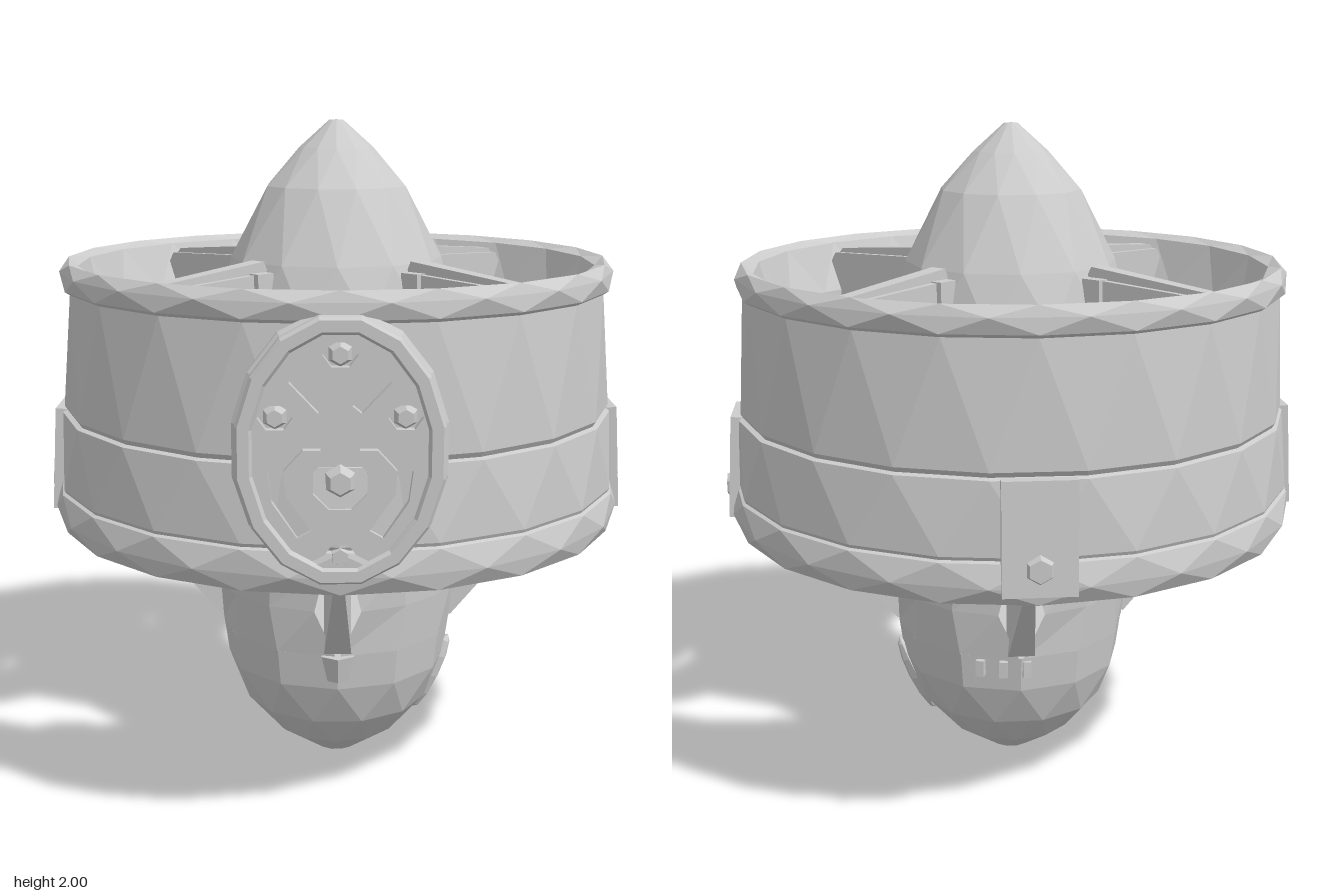
import * as THREE from 'three';

const mat = new THREE.MeshStandardMaterial({ color: 0xcccccc, flatShading: true });
const thin = new THREE.MeshStandardMaterial({ color: 0xcccccc, flatShading: true, side: THREE.DoubleSide });

function add(parent, name, geometry, material = mat) {
  const mesh = new THREE.Mesh(geometry, material);
  mesh.name = name;
  parent.add(mesh);
  return mesh;
}

function fromTriangles(tris) {
  const g = new THREE.BufferGeometry();
  g.setAttribute('position', new THREE.Float32BufferAttribute(tris.flat(2), 3));
  g.computeVertexNormals();
  return g;
}

// Turned solid with facets; a row marked 0.5 is rotated half a side, giving zigzag triangles.
// Rows are [radius, y, shift], running up the outside.
function facetedTurn(rows, sides) {
  const at = ([r, y, s = 0], i) => {
    const a = (i + s) / sides * Math.PI * 2;
    return [r * Math.sin(a), y, r * Math.cos(a)];
  };
  const tris = [];
  for (let j = 0; j < rows.length - 1; j++) {
    const lo = rows[j], hi = rows[j + 1];
    for (let i = 0; i < sides; i++) {
      const b0 = at(lo, i), b1 = at(lo, i + 1), t0 = at(hi, i), t1 = at(hi, i + 1);
      if ((lo[2] || 0) > (hi[2] || 0)) tris.push([b0, t1, t0], [b0, b1, t1]);
      else tris.push([b0, b1, t0], [b1, t1, t0]);
    }
  }
  return fromTriangles(tris);
}

// Upright blade drawn as [radius, y] points; thickness runs from root to tip
function blade(points, root, tip, r0, r1) {
  const shape = new THREE.Shape(points.map(p => new THREE.Vector2(...p)));
  const g = new THREE.ExtrudeGeometry(shape, { depth: 1, bevelEnabled: false });
  g.translate(0, 0, -0.5);
  const p = g.attributes.position;
  for (let i = 0; i < p.count; i++) {
    const k = THREE.MathUtils.clamp((p.getX(i) - r0) / (r1 - r0), 0, 1);
    p.setZ(i, p.getZ(i) * THREE.MathUtils.lerp(root, tip, k));
  }
  g.computeVertexNormals();
  return g;
}

// Closed polygon outline of an ellipse
function oval(Type, cx, cy, rx, ry, n, turn = 0) {
  const pts = [];
  for (let i = 0; i < n; i++) {
    const a = i / n * Math.PI * 2 + turn;
    pts.push(new THREE.Vector2(cx + rx * Math.cos(a), cy + ry * Math.sin(a)));
  }
  return new Type(pts);
}

const slot = pts => new THREE.Path(pts.map(p => new THREE.Vector2(...p)));

function bolt(parent, r, x, y, z) {
  const m = add(parent, 'bolt', new THREE.CylinderGeometry(r * 0.65, r, 0.03, 6));
  m.rotation.x = Math.PI / 2;
  m.position.set(x, y, z);
}

// Four gently bowed hub panels that leave a pointed slot on each axis
function hubPanels() {
  const rows = [[0.355, 0.46, 0.02], [0.365, 0.6, 0.19], [0.37, 0.73, 0.1]];
  const tris = [], steps = 3;
  for (let q = 0; q < 4; q++) {
    const at = ([r, y, gap], i) => {
      const a = q * Math.PI / 2 + gap + (Math.PI / 2 - 2 * gap) * i / steps;
      return [r * Math.sin(a), y, r * Math.cos(a)];
    };
    for (let j = 0; j < 2; j++) for (let i = 0; i < steps; i++) {
      const a = at(rows[j], i), b = at(rows[j], i + 1), c = at(rows[j + 1], i + 1), d = at(rows[j + 1], i);
      tris.push([a, b, c], [a, c, d]);
    }
  }
  return fromTriangles(tris);
}

// Oval front cover: backing, pierced face, raised rim and bolts
function makeCover() {
  const g = new THREE.Group();
  g.name = 'frontCover';
  const back = oval(THREE.Shape, 0, 0, 0.27, 0.35, 16, Math.PI / 16);
  add(g, 'coverBack', new THREE.ExtrudeGeometry(back, { depth: 0.08, bevelThickness: 0.012, bevelSize: 0.012, bevelSegments: 1 }))
    .position.z = 0.72;

  const face = oval(THREE.Shape, 0, 0, 0.235, 0.315, 16, Math.PI / 16);
  face.holes.push(oval(THREE.Path, 0, -0.08, 0.075, 0.075, 8, Math.PI / 8));
  for (const [x, y] of [[0, 0.25], [0.165, 0.09], [-0.165, 0.09], [0, -0.275]])
    face.holes.push(oval(THREE.Path, x, y, 0.045, 0.036, 6));
  for (const s of [-1, 1]) {
    face.holes.push(slot([[s * 0.03, 0.12], [s * 0.055, 0.1], [s * 0.13, 0.18], [s * 0.1, 0.215]]));
    face.holes.push(slot([[s * 0.05, 0.03], [s * 0.11, 0.03], [s * 0.185, -0.05], [s * 0.175, -0.13],
      [s * 0.11, -0.225], [s * 0.075, -0.205], [s * 0.14, -0.11], [s * 0.145, -0.05], [s * 0.095, 0.005], [s * 0.05, 0.005]]));
  }
  add(g, 'piercedFace', new THREE.ExtrudeGeometry(face, { depth: 0.03, bevelEnabled: false })).position.z = 0.81;

  const rim = oval(THREE.Shape, 0, 0, 0.265, 0.345, 16, Math.PI / 16);
  rim.holes.push(oval(THREE.Path, 0, 0, 0.235, 0.315, 16, Math.PI / 16));
  add(g, 'coverRim', new THREE.ExtrudeGeometry(rim, { depth: 0.035, bevelThickness: 0.012, bevelSize: 0.008, bevelSegments: 1 }))
    .position.z = 0.808;

  bolt(g, 0.045, 0, -0.08, 0.83);
  for (const [x, y] of [[0, 0.25], [0.165, 0.09], [-0.165, 0.09], [0, -0.275]]) bolt(g, 0.034, x, y, 0.832);
  g.position.y = 1.195;
  return g;
}

// Strap over the lower band, with a bolt
function makeStrap() {
  const g = new THREE.Group();
  g.name = 'bandStrap';
  const upper = add(g, 'strapPlate', new THREE.BoxGeometry(0.2, 0.31, 0.04));
  upper.position.set(0, 1.0, 0.832);
  upper.rotation.x = -0.06;
  bolt(g, 0.05, 0, 0.92, 0.855);
  return g;
}

export function createModel() {
  const model = new THREE.Group();

  // Duct: bottom lip, lower band, main wall, top lip, inner wall
  add(model, 'ductRing', facetedTurn([
    [0.77, 0.85], [0.8, 0.815], [0.835, 0.815], [0.855, 0.865, 0.5], [0.845, 0.93],
    [0.835, 0.935], [0.84, 0.945], [0.825, 1.15, 0.5], [0.81, 1.155, 0.5], [0.82, 1.17, 0.5],
    [0.80, 1.515], [0.815, 1.525], [0.82, 1.57, 0.5], [0.8, 1.6], [0.765, 1.585, 0.5],
    [0.705, 1.44], [0.69, 1.2, 0.5], [0.71, 1.0], [0.77, 0.85],
  ], 20));

  // Centre body
  add(model, 'noseCone', facetedTurn([
    [0.365, 1.34], [0.355, 1.44, 0.5], [0.315, 1.6], [0.21, 1.81, 0.5], [0.11, 1.92], [0.02, 2], [0, 2],
  ], 12));
  add(model, 'hub', facetedTurn([[0.37, 0.73], [0.375, 0.81], [0.375, 1.34], [0.36, 1.36]], 12), thin);
  add(model, 'hubPanels', hubPanels(), thin);
  add(model, 'tailBulb', facetedTurn([
    [0, 0.005], [0.06, 0.03, 0.5], [0.19, 0.115], [0.285, 0.22, 0.5], [0.34, 0.35], [0.355, 0.46], [0, 0.46],
  ], 12));

  // Side lens, front catch and rear teeth on the tail
  const lens = add(model, 'tailLens', new THREE.SphereGeometry(1, 8, 6));
  lens.scale.set(0.03, 0.135, 0.05);
  lens.position.set(0.3, 0.275, 0);
  lens.rotation.z = -0.42;
  add(model, 'tailCatch', new THREE.CylinderGeometry(0.055, 0.035, 0.08, 6)).position.set(0, 0.42, 0.33);
  for (let i = -1; i <= 1; i++) {
    const a = Math.PI - 0.15 + i * 0.2;
    const tooth = add(model, 'tailTooth', new THREE.BoxGeometry(0.025, 0.05, 0.03));
    tooth.position.set(0.345 * Math.sin(a), 0.425, 0.345 * Math.cos(a));
    tooth.rotation.y = a;
  }

  const vaneGeo = wide => blade(
    [[0.3, 0.48], [0.36, 0.47], [0.71, 0.88], [0.7, 1.08], [0.3, 1.08]], wide, 0.008, 0.36, 0.7);
  const strutGeo = blade(
    [[0.3, 1.28], [0.74, 1.42], [0.74, 1.53], [0.72, 1.56], [0.3, 1.58]], 0.09, 0.07, 0.33, 0.74);
  const capGeo = blade([[0.3, 1.57], [0.73, 1.545], [0.7, 1.575], [0.32, 1.61]], 0.05, 0.04, 0.33, 0.74);

  for (let i = 0; i < 4; i++) {
    // Slanted vanes on the axes, with a pad where each meets the duct
    const vane = new THREE.Group();
    vane.name = 'lowerVane';
    add(vane, 'vaneBlade', vaneGeo(i % 2 ? 0.08 : 0.03));
    add(vane, 'vanePad', new THREE.BoxGeometry(0.05, 0.16, 0.12)).position.set(0.7, 0.99, 0);
    vane.rotation.y = i * Math.PI / 2;
    model.add(vane);

    // Upper struts on the diagonals
    const strut = new THREE.Group();
    strut.name = 'upperStrut';
    add(strut, 'strutBlade', strutGeo);
    add(strut, 'strutCap', capGeo);
    add(strut, 'strutCollar', new THREE.BoxGeometry(0.06, 0.26, 0.12)).position.set(0.345, 1.45, 0);
    strut.rotation.y = (i + 0.5) * Math.PI / 2;
    model.add(strut);

    // Straps on the sides and back
    if (i) {
      const strap = makeStrap();
      strap.rotation.y = i * Math.PI / 2;
      model.add(strap);
    }
  }

  model.add(makeCover());
  return model;
}
